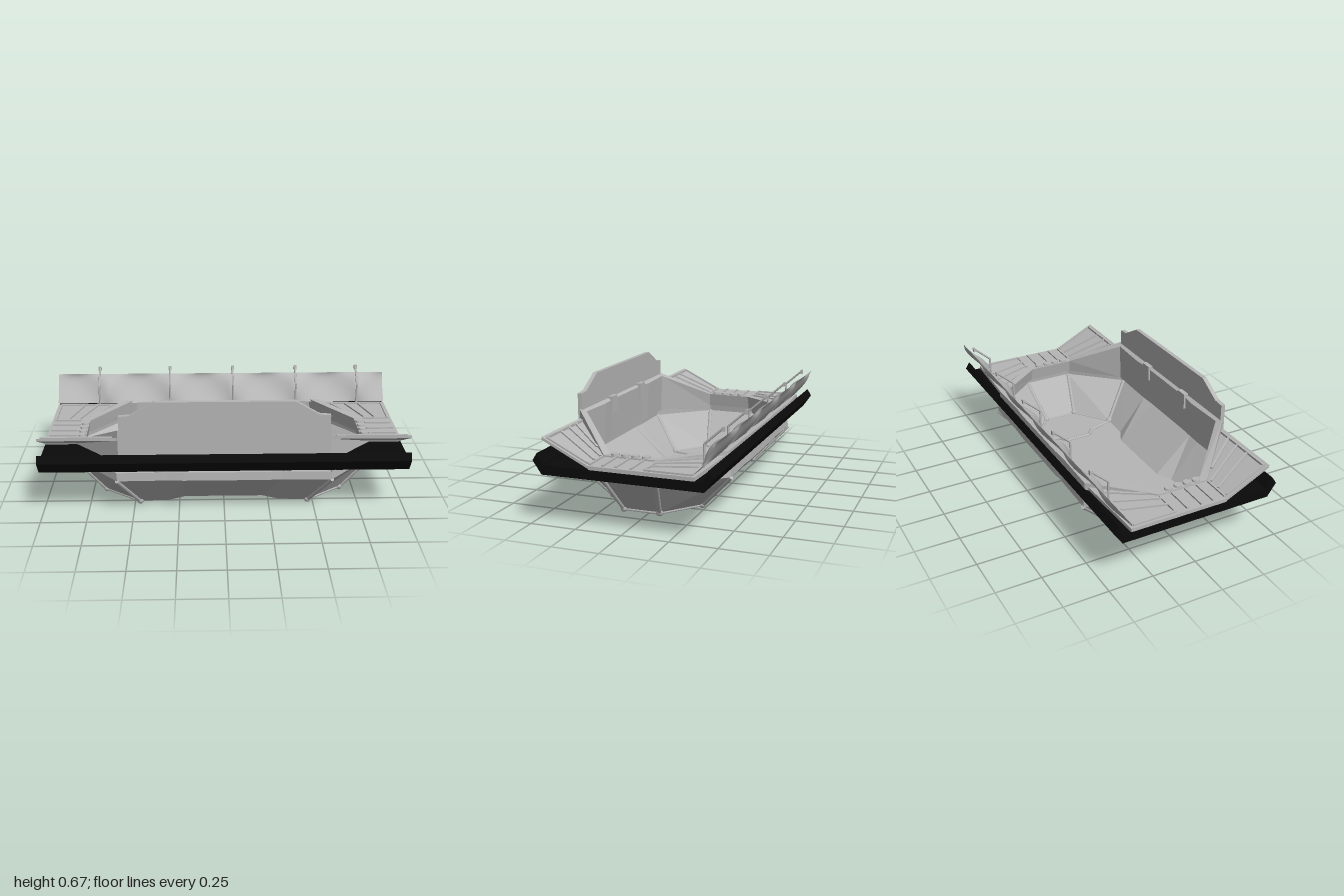
import * as THREE from 'three';

const grey = new THREE.MeshStandardMaterial({ color: 0xb6b6b6, side: THREE.DoubleSide });
grey.name = 'light grey';
const black = new THREE.MeshStandardMaterial({ color: 0x0a0a0a, side: THREE.DoubleSide });
black.name = 'black';

// Octagon at a given height; front and back edges can be drawn in at the middle
function ring(y, xSide, zSideF, zSideB, xEnd, zF, zB, inset = 0) {
  const pts = [
    [xSide, zSideB], [xSide, zSideF], [xEnd, zF], [0.31, zF - 0.005], [0.22, zF - inset],
    [-0.22, zF - inset], [-0.31, zF - 0.005], [-xEnd, zF], [-xSide, zSideF], [-xSide, zSideB],
    [-xEnd, zB], [-0.31, zB + 0.005], [-0.22, zB + inset * 0.7],
    [0.22, zB + inset * 0.7], [0.31, zB + 0.005], [xEnd, zB],
  ];
  return pts.map(([x, z]) => new THREE.Vector3(x, typeof y === 'function' ? y(z) : y, z));
}

// Faceted skin through matching closed rings
function loft(rings, cap = false) {
  const pos = [];
  const tri = (...v) => v.forEach((p) => pos.push(p.x, p.y, p.z));
  const n = rings[0].length;
  for (let r = 0; r + 1 < rings.length; r++) {
    for (let i = 0; i < n; i++) {
      const j = (i + 1) % n;
      const a = rings[r][i], b = rings[r][j], c = rings[r + 1][j], d = rings[r + 1][i];
      tri(a, b, c);
      tri(a, c, d);
    }
  }
  if (cap) {
    const last = rings[rings.length - 1];
    const faces = THREE.ShapeUtils.triangulateShape(last.map((p) => new THREE.Vector2(p.x, p.z)), []);
    faces.forEach(([a, b, c]) => tri(last[a], last[b], last[c]));
  }
  const g = new THREE.BufferGeometry();
  g.setAttribute('position', new THREE.Float32BufferAttribute(pos, 3));
  g.computeVertexNormals();
  return g;
}

const shapeOf = (pts) => new THREE.Shape(pts.map(([x, y]) => new THREE.Vector2(x, y)));

// Horizontal plate from an x,z outline
function plate(pts, top, thick, hole) {
  const s = shapeOf(pts);
  if (hole) s.holes.push(shapeOf(hole));
  return new THREE.ExtrudeGeometry(s, { depth: thick, bevelEnabled: false })
    .rotateX(Math.PI / 2).translate(0, top, 0);
}

const deckHeight = (z) => 0.34 + Math.max(0, z - 0.17) * 0.5;

export function createModel() {
  const model = new THREE.Group();
  const add = (name, geometry, material = grey, parent = model) => {
    const m = new THREE.Mesh(geometry, material);
    m.name = name;
    parent.add(m);
    return m;
  };
  const group = (name) => {
    const g = new THREE.Group();
    g.name = name;
    model.add(g);
    return g;
  };
  const V = (x, y, z) => new THREE.Vector3(x, y, z);
  // Straight bar between two points
  const bar = (name, a, b, w, h, parent) => {
    const m = add(name, new THREE.BoxGeometry(w, h, a.distanceTo(b)), grey, parent);
    m.position.copy(a).add(b).multiplyScalar(0.5);
    m.lookAt(b);
  };
  const pipe = (name, a, b, r, parent) => {
    const m = add(name, new THREE.CylinderGeometry(r, r, a.distanceTo(b), 8), grey, parent);
    m.position.copy(a).add(b).multiplyScalar(0.5);
    m.quaternion.setFromUnitVectors(V(0, 1, 0), b.clone().sub(a).normalize());
  };

  // Tub below the deck
  const rim = ring(0.225, 0.835, 0.17, -0.12, 0.58, 0.452, -0.428);
  const floor = ring(0.02, 0.67, 0.13, -0.07, 0.47, 0.285, -0.235, 0.05);
  add('tub', loft([ring(0.272, 0.83, 0.17, -0.12, 0.58, 0.45, -0.425), rim, floor], true));

  // Pipes and feet along the tub edges
  const frame = group('tubFrame');
  const corners = [0, 1, 2, 7, 8, 9, 10, 15];
  corners.forEach((c, i) => {
    const next = corners[(i + 1) % corners.length];
    pipe('cornerPipe', rim[c], floor[c], 0.012, frame);
    if (i !== 2 && i !== 6) pipe('floorPipe', floor[c], floor[next], 0.008, frame);
    const foot = add('foot', new THREE.SphereGeometry(0.02, 8, 6), grey, frame);
    foot.position.copy(floor[c]).setY(0.024);
  });
  for (const s of [-1, 1]) {
    const path = [[0.46, -0.22], [0.42, -0.1], [0.37, -0.06], [0.37, 0.09], [0.42, 0.13], [0.46, 0.27]];
    for (let i = 0; i + 1 < path.length; i++) {
      const [a, b] = [path[i], path[i + 1]];
      pipe('floorHoop', V(s * a[0], 0.022, a[1]), V(s * b[0], 0.022, b[1]), 0.011, frame);
    }
  }

  // Black base slab with an opening, and its turned-up front and back lips
  const opening = [[0.81, -0.12], [0.81, 0.17], [0.56, 0.42], [-0.56, 0.42],
    [-0.81, 0.17], [-0.81, -0.12], [-0.56, -0.41], [0.56, -0.41]];
  add('baseSlab', plate([[-1, -0.428], [1, -0.428], [1, 0.428], [-1, 0.428]], 0.32, 0.05, opening), black);
  for (const s of [-1, 1]) {
    const profile = [[0.427, 0.27], [0.475, 0.34], [0.45, 0.38], [0.42, 0.325]];
    const lip = new THREE.ExtrudeGeometry(shapeOf(profile.map(([z, y]) => [s * z, y])),
      { depth: 2, bevelEnabled: false }).rotateY(-Math.PI / 2).translate(1, 0, 0);
    add(s > 0 ? 'frontLip' : 'backLip', lip, black);
  }

  // Coaming around the opening, rising to the front
  const topEdge = (z) => (z > 0.17 ? 0.35 + (z - 0.17) * 0.63 : 0.348 + Math.max(0, -z - 0.12) * 0.05);
  add('coaming', loft([
    ring(0.3, 0.82, 0.17, -0.12, 0.57, 0.425, -0.415),
    ring(topEdge, 0.82, 0.17, -0.12, 0.57, 0.425, -0.415),
    ring(topEdge, 0.775, 0.155, -0.105, 0.54, 0.4, -0.39),
    ring(0.27, 0.79, 0.16, -0.11, 0.55, 0.41, -0.4),
  ]));

  // Tall front panel
  const half = [[0.56, 0.3], [0.56, 0.595], [0.5, 0.6], [0.37, 0.675]];
  const outline = [...half, ...half.map(([x, y]) => [-x, y]).reverse()];
  add('frontPanel', new THREE.ExtrudeGeometry(shapeOf(outline),
    { depth: 0.024, bevelEnabled: false }).translate(0, 0, 0.417));

  // Side decks, raised front flaps and their ribs
  for (const s of [-1, 1]) {
    const side = group(s > 0 ? 'leftDeck' : 'rightDeck');
    const mir = (pts) => pts.map(([x, z]) => [s * x, z]);
    add('deckPlate', plate(mir([[0.56, -0.4], [1, -0.38], [1, 0.17], [0.81, 0.17], [0.81, -0.12]]), 0.34, 0.02), grey, side);
    const flap = plate(mir([[0.81, 0.17], [1, 0.17], [1, 0.42], [0.57, 0.42]]), 0, 0.015);
    const p = flap.attributes.position;
    for (let i = 0; i < p.count; i++) p.setY(i, p.getY(i) + deckHeight(p.getZ(i)));
    flap.computeVertexNormals();
    add('raisedFlap', flap, grey, side);
    const ribs = [
      [0.98, -0.36, 0.98, -0.12], [0.98, -0.36, 0.6, -0.36], [0.84, -0.35, 0.91, -0.12],
      [0.76, -0.35, 0.85, -0.12], [0.67, -0.35, 0.78, -0.17],
      [0.98, 0.18, 0.98, 0.4], [0.98, 0.4, 0.6, 0.4], [0.91, 0.18, 0.84, 0.4],
      [0.84, 0.18, 0.75, 0.4], [0.77, 0.23, 0.67, 0.4],
    ];
    [-0.12, -0.05, 0.03, 0.1, 0.17].forEach((z) => ribs.push([0.83, z, 0.985, z]));
    ribs.forEach(([x1, z1, x2, z2]) => bar('deckRib',
      V(s * x1, deckHeight(z1) + 0.003, z1), V(s * x2, deckHeight(z2) + 0.003, z2), 0.012, 0.012, side));
    // Rounded pads on the side coaming
    [0.115, 0.06, 0.005, -0.052].forEach((z) => {
      const pad = add('sidePad', new THREE.CylinderGeometry(0.021, 0.023, 0.014, 10), grey, side);
      pad.position.set(s * 0.798, 0.352, z);
    });
  }

  // Pads on the inner back and front walls
  for (const x of [-0.37, 0, 0.37]) {
    add('backPad', new THREE.BoxGeometry(0.3, 0.06, 0.03)).position.set(x, 0.325, -0.382);
  }
  for (const x of [-0.2, 0.2]) {
    add('frontClamp', new THREE.BoxGeometry(0.07, 0.09, 0.03)).position.set(x, 0.47, 0.405);
  }

  // Billowing back screen, drawn in at each post
  const screen = new THREE.PlaneGeometry(2, 1, 96, 10);
  const q = screen.attributes.position;
  for (let i = 0; i < q.count; i++) {
    const x = q.getX(i), t = q.getY(i) + 0.5, u = 1 - t;
    const sag = Math.abs(Math.sin(((x - 0.07) / 0.385) * Math.PI));
    const zMid = -0.365 - 0.125 * sag;
    q.setXYZ(i, x, u * u * 0.35 + 2 * u * t * 0.46 + t * t * 0.505,
      u * u * -0.375 + 2 * u * t * zMid + t * t * -0.473);
  }
  screen.computeVertexNormals();
  add('backScreen', screen);

  // Posts with small end blocks
  const posts = group('screenPosts');
  for (const x of [-0.745, -0.315, 0.07, 0.455, 0.83]) {
    pipe('postUpright', V(x, 0.34, -0.368), V(x, 0.46, -0.37), 0.006, posts);
    pipe('postArm', V(x, 0.46, -0.37), V(x, 0.545, -0.465), 0.006, posts);
    add('postBlock', new THREE.BoxGeometry(0.018, 0.024, 0.012), grey, posts).position.set(x, 0.542, -0.468);
  }
  return model;
}
